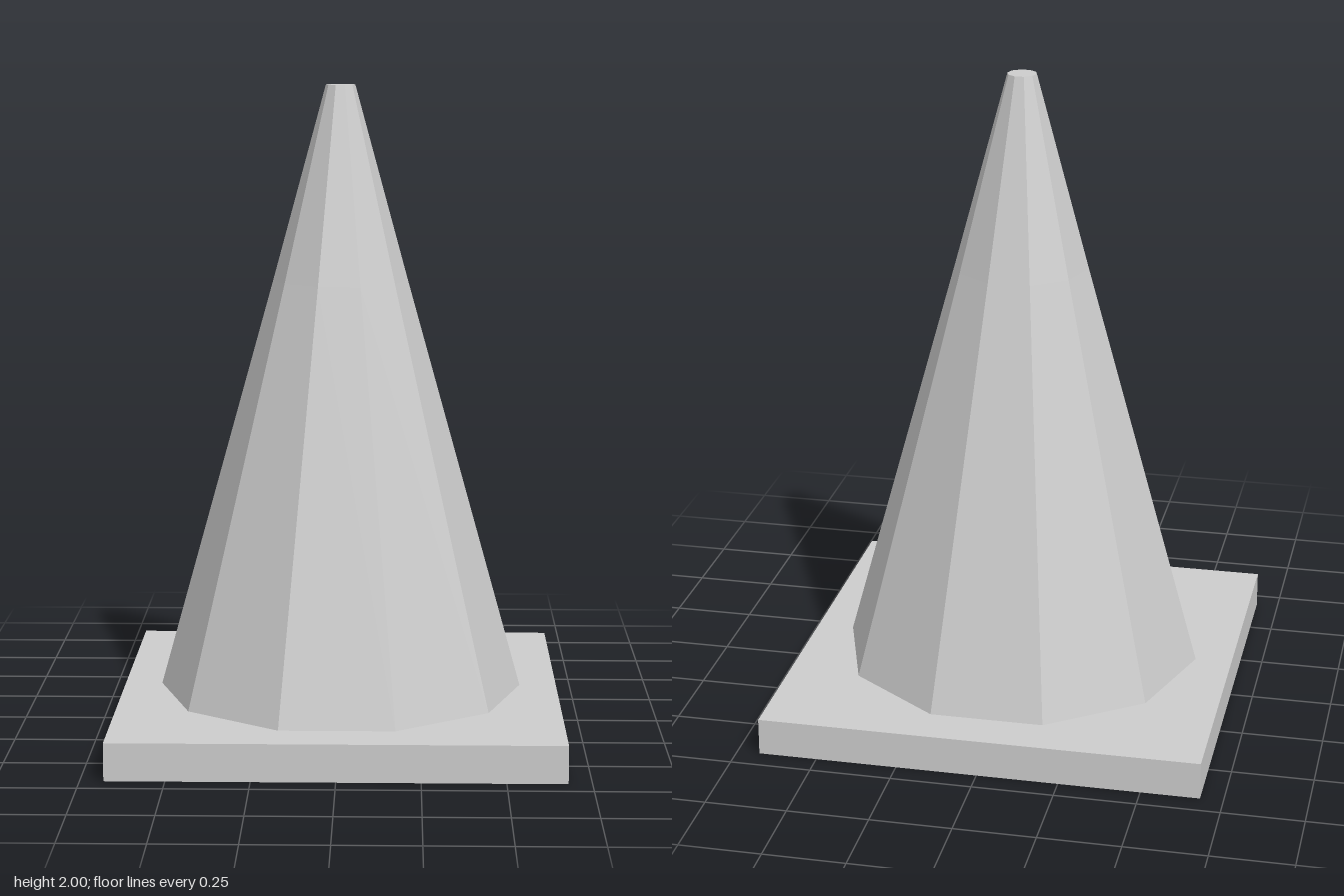
import * as THREE from 'three';

export function createModel() {
  const group = new THREE.Group();
  const grey = new THREE.MeshStandardMaterial({ color: 0xcccccc, flatShading: true });
  grey.name = 'light grey';

  // Square foot plate
  const baseHeight = 0.115;
  const base = new THREE.Mesh(new THREE.BoxGeometry(1.36, baseHeight, 1.36), grey);
  base.name = 'base';
  base.position.y = baseHeight / 2;
  group.add(base);

  // Ten-sided cone body with a flat tip, corners on the x axis
  const profile = [[0.565, baseHeight], [0.208, 1.4], [0.045, 2], [0, 2]]
    .map(([r, y]) => new THREE.Vector2(r, y));
  const cone = new THREE.Mesh(new THREE.LatheGeometry(profile, 10, Math.PI / 2), grey);
  cone.name = 'cone';
  group.add(cone);

  return group;
}
